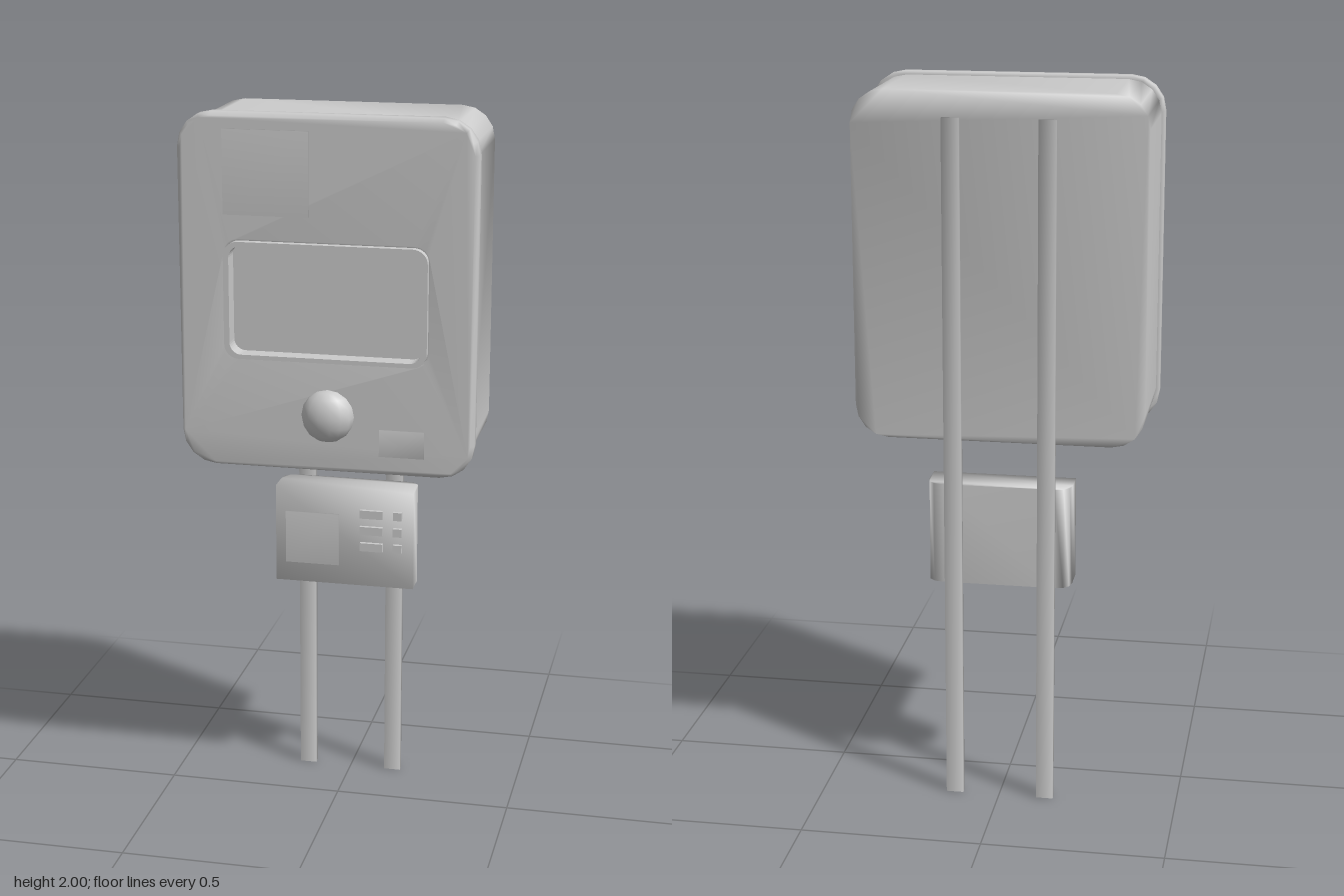
import * as THREE from 'three';
import { mergeVertices } from 'three/addons/utils/BufferGeometryUtils.js';

const material = new THREE.MeshStandardMaterial({ color: 0xcccccc });

// Share corners so shading flows softly over the edges
function soften(geometry) {
  geometry.deleteAttribute('normal');
  geometry.deleteAttribute('uv');
  const merged = mergeVertices(geometry, 1e-4);
  merged.computeVertexNormals();
  return merged;
}

function roundedRect(x0, x1, y0, y1, r, target = new THREE.Shape()) {
  target.moveTo(x0 + r, y0);
  target.lineTo(x1 - r, y0);
  target.absarc(x1 - r, y0 + r, r, -Math.PI / 2, 0);
  target.lineTo(x1, y1 - r);
  target.absarc(x1 - r, y1 - r, r, 0, Math.PI / 2);
  target.lineTo(x0 + r, y1);
  target.absarc(x0 + r, y1 - r, r, Math.PI / 2, Math.PI);
  target.lineTo(x0, y0 + r);
  target.absarc(x0 + r, y0 + r, r, Math.PI, Math.PI * 1.5);
  return target;
}

export function createModel() {
  const model = new THREE.Group();
  model.name = 'wallMeter';

  const add = (name, geometry) => {
    const mesh = new THREE.Mesh(geometry, material);
    mesh.name = name;
    model.add(mesh);
    return mesh;
  };

  // Box given by its limits on each axis
  const block = (name, x0, x1, y0, y1, z0, z1, soft = true) => {
    const g = new THREE.BoxGeometry(x1 - x0, y1 - y0, z1 - z0);
    g.translate((x0 + x1) / 2, (y0 + y1) / 2, (z0 + z1) / 2);
    return add(name, soft ? soften(g) : g);
  };

  // Extrusion towards +z, starting at z0
  const slab = (shape, z0, depth, curveSegments) =>
    new THREE.ExtrudeGeometry(shape, { depth, bevelEnabled: false, curveSegments }).translate(0, 0, z0);

  // Deep main housing
  add('housing', soften(slab(roundedRect(-0.395, 0.395, 1.045, 1.99, 0.09), -0.19, 0.3, 2)));

  // Front cover with a window opening and a softened front rim
  const cover = roundedRect(-0.395, 0.395, 1.042, 1.99, 0.085);
  cover.holes.push(roundedRect(-0.28, 0.28, 1.335, 1.665, 0.04, new THREE.Path()));
  const coverGeometry = new THREE.ExtrudeGeometry(cover, {
    depth: 0.026, bevelThickness: 0.012, bevelSize: 0.01, bevelSegments: 1, curveSegments: 2,
  }).translate(0, 0, 0.112);
  const p = coverGeometry.attributes.position;
  for (let i = 0; i < p.count; i++) p.setZ(i, Math.max(p.getZ(i), 0.11));
  add('frontCover', soften(coverGeometry));

  // Window frame and recessed display
  const frame = roundedRect(-0.277, 0.277, 1.34, 1.66, 0.04);
  frame.holes.push(roundedRect(-0.262, 0.262, 1.352, 1.648, 0.032, new THREE.Path()));
  add('displayFrame', slab(frame, 0.108, 0.058, 4));
  block('display', -0.27, 0.27, 1.345, 1.655, 0.1, 0.116, false);

  // Push button
  const dome = new THREE.SphereGeometry(0.073, 14, 8).scale(1, 1, 0.69);
  add('pushButton', dome).position.set(0.005, 1.19, 0.149);

  // Raised plates on the cover
  block('upperPlate', -0.278, -0.045, 1.73, 1.957, 0.14, 0.157);
  block('lowerPlate', 0.147, 0.27, 1.085, 1.16, 0.14, 0.153);

  // Lower unit: square at the front, rounded at the back
  const section = new THREE.Shape();
  section.moveTo(-0.195, 0.063);
  section.lineTo(-0.195, 0.13);
  section.quadraticCurveTo(-0.195, 0.175, -0.15, 0.175);
  section.lineTo(0.16, 0.175);
  section.quadraticCurveTo(0.205, 0.175, 0.205, 0.13);
  section.lineTo(0.205, 0.063);
  const unit = slab(section, 0, 0.285, 3).rotateX(-Math.PI / 2).translate(0, 0.627, 0);
  add('lowerUnit', soften(unit));
  block('unitPlate', -0.165, -0.01, 0.685, 0.838, -0.075, -0.057);

  // Two columns of keys on the lower unit
  for (const y of [0.845, 0.796, 0.747]) {
    block('wideKey', 0.052, 0.118, y - 0.012, y + 0.012, -0.075, -0.052, false);
    block('smallKey', 0.148, 0.173, y - 0.012, y + 0.012, -0.075, -0.052, false);
  }

  // Rear mounting rails
  for (const x of [-0.13, 0.127]) {
    block('rail', x - 0.024, x + 0.024, 0, 1.92, -0.2, -0.18);
  }

  return model;
}
